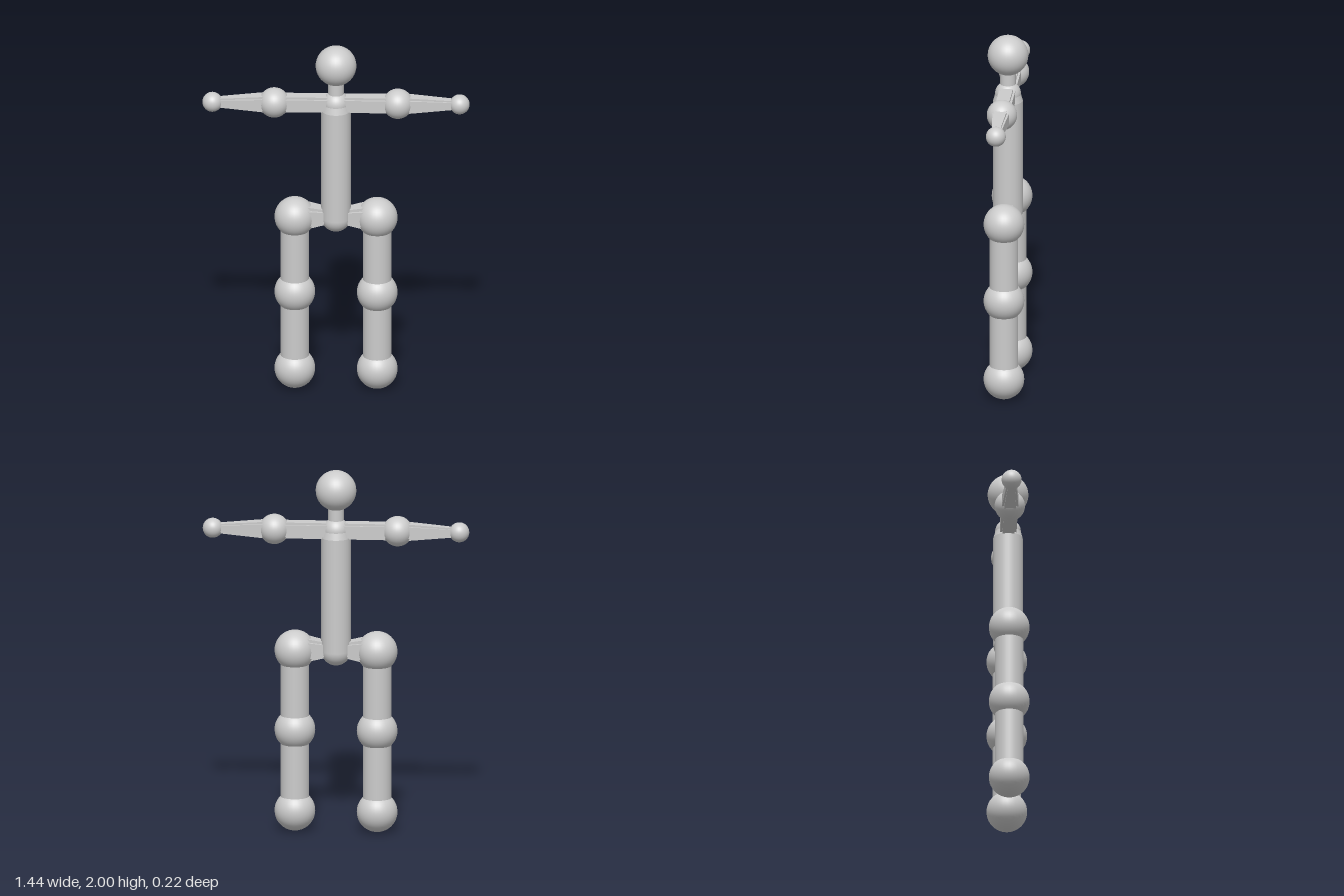
import * as THREE from 'three';

const material = new THREE.MeshStandardMaterial({ color: 0xcccccc });

function add(group, name, geometry, x = 0, y = 0, z = 0) {
  const mesh = new THREE.Mesh(geometry, material);
  mesh.name = name;
  mesh.position.set(x, y, z);
  group.add(mesh);
  return mesh;
}

const ball = (r) => new THREE.SphereGeometry(r, 32, 24);

// Bar along +x with a notch along each corner, tapering from radius r0 to r1
function notchedBar(length, r0, r1, inner = 0.72) {
  const s = new THREE.Shape();
  const a = inner;
  [[1, -a], [1, a], [a, a], [a, 1], [-a, 1], [-a, a],
    [-1, a], [-1, -a], [-a, -a], [-a, -1], [a, -1], [a, -a]]
    .forEach(([x, y], i) => (i ? s.lineTo(x, y) : s.moveTo(x, y)));
  const geo = new THREE.ExtrudeGeometry(s, { depth: length, bevelEnabled: false });
  const p = geo.attributes.position;
  for (let i = 0; i < p.count; i++) {
    const r = THREE.MathUtils.lerp(r0, r1, p.getZ(i) / length);
    p.setXY(i, p.getX(i) * r, p.getY(i) * r);
  }
  geo.rotateY(Math.PI / 2);
  geo.computeVertexNormals();
  return geo;
}

export function createModel() {
  const model = new THREE.Group();
  model.name = 'jointedFigure';

  // Head, neck and trunk
  add(model, 'head', ball(0.11), 0, 1.89);
  add(model, 'neck', new THREE.CylinderGeometry(0.042, 0.042, 0.18, 32), 0, 1.76);
  add(model, 'chestJoint', ball(0.07), 0, 1.67);
  add(model, 'shoulderTaper', new THREE.CylinderGeometry(0.066, 0.08, 0.05, 32), 0, 1.655);
  add(model, 'torso', new THREE.CylinderGeometry(0.08, 0.08, 0.63, 32), 0, 1.315);
  add(model, 'pelvisJoint', ball(0.08), 0, 1.0);

  for (const side of [1, -1]) {
    const label = side > 0 ? 'left' : 'right';
    const limb = new THREE.Group();
    limb.name = label + 'Limbs';
    if (side < 0) limb.rotation.y = Math.PI;

    // Arm
    add(limb, label + 'UpperArm', notchedBar(0.33, 0.044, 0.044), 0, 1.67);
    add(limb, label + 'Elbow', ball(0.082), 0.333, 1.67);
    add(limb, label + 'Forearm', notchedBar(0.333, 0.05, 0.023), 0.333, 1.67);
    add(limb, label + 'Hand', ball(0.054), 0.666, 1.67);

    // Hip and leg
    add(limb, label + 'HipBar', notchedBar(0.222, 0.032, 0.077), 0, 1.008);
    for (const [part, y] of [['Hip', 1.0], ['Knee', 0.56], ['Foot', 0.11]]) {
      add(limb, label + part, ball(0.11), 0.222, y);
    }
    for (const [part, y] of [['Thigh', 0.78], ['Shin', 0.335]]) {
      add(limb, label + part, new THREE.CylinderGeometry(0.077, 0.077, 0.44, 32), 0.222, y);
    }
    model.add(limb);
  }
  return model;
}
